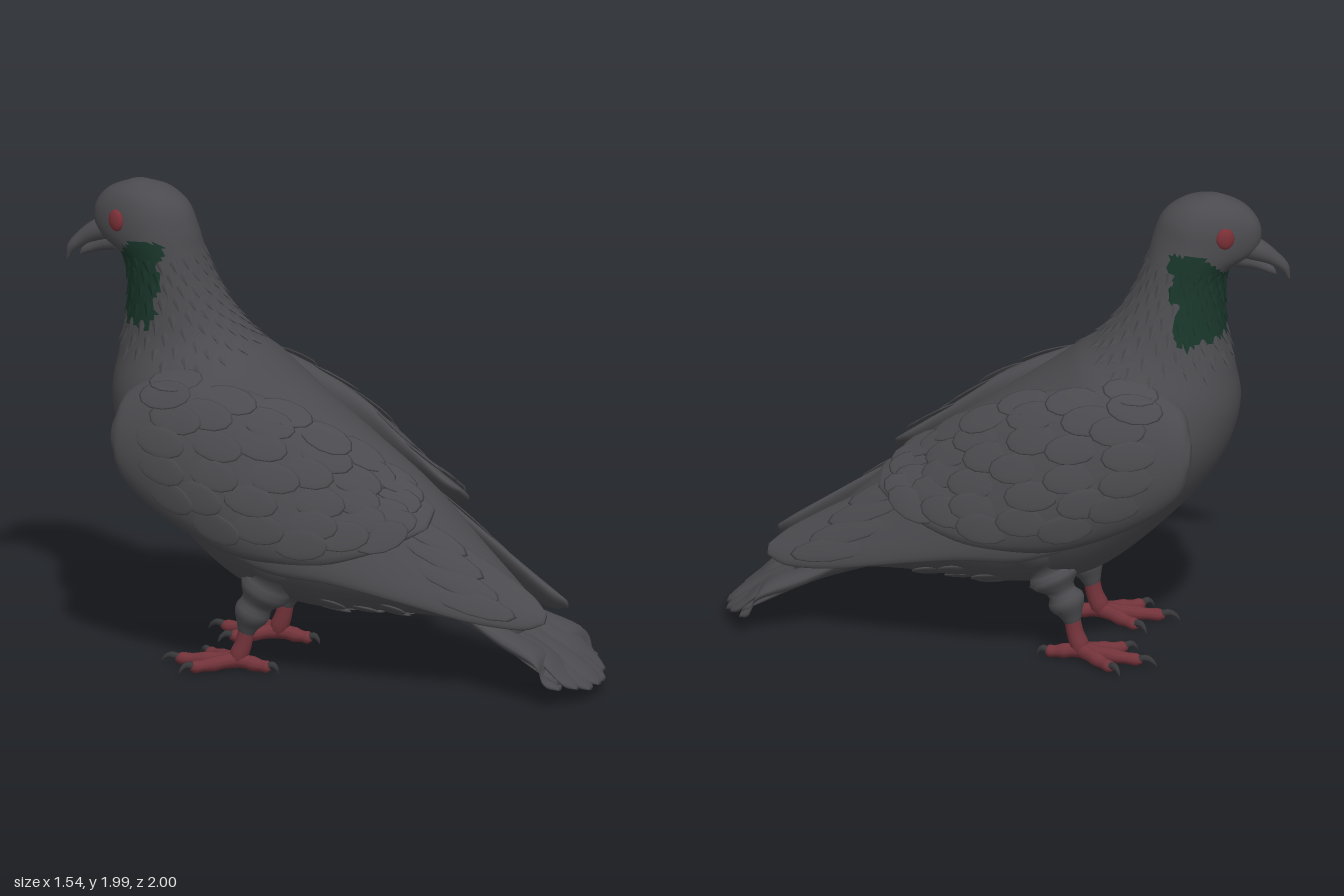
import * as THREE from 'three';
import { mergeGeometries } from 'three/addons/utils/BufferGeometryUtils.js';

const mat = (name, color) => {
  const m = new THREE.MeshStandardMaterial({ color });
  m.name = name;
  return m;
};
const V = (x, y, z) => new THREE.Vector3(x, y, z);

// Smooth closed skin through sections { c, u, v }: centre and two half-axes.
function loft(sections, rings = 30, sides = 24, inPatch = null, shape = p => p) {
  const [C, U, W] = ['c', 'u', 'v'].map(k => new THREE.CatmullRomCurve3(sections.map(s => s[k]), false, 'catmullrom', 0.5));
  const at = (p, a) => shape(C.getPoint(p).addScaledVector(U.getPoint(p), Math.cos(a)).addScaledVector(W.getPoint(p), Math.sin(a)));
  const pts = [], tris = [];
  for (let i = 0; i <= rings; i++)
    for (let j = 0; j < sides; j++) pts.push(at(i / rings, (j / sides) * Math.PI * 2));
  pts.push(C.getPoint(0), C.getPoint(1));
  const id = (i, j) => i * sides + (j % sides);
  for (let j = 0; j < sides; j++) {
    for (let i = 0; i < rings; i++) {
      tris.push([id(i, j), id(i + 1, j), id(i + 1, j + 1)], [id(i, j), id(i + 1, j + 1), id(i, j + 1)]);
    }
    tris.push([pts.length - 2, id(0, j), id(0, j + 1)], [pts.length - 1, id(rings, j + 1), id(rings, j)]);
  }
  // Turn the faces outward by the sign of the enclosed volume.
  let volume = 0;
  for (const [a, b, c] of tris) volume += pts[a].dot(V(0, 0, 0).crossVectors(pts[b], pts[c]));
  if (volume < 0) tris.forEach(t => t.reverse());
  const centre = t => V(0, 0, 0).add(pts[t[0]]).add(pts[t[1]]).add(pts[t[2]]).divideScalar(3);
  const patch = inPatch ? tris.filter(t => inPatch(centre(t))) : [];
  const rest = inPatch ? tris.filter(t => !inPatch(centre(t))) : tris;
  const g = new THREE.BufferGeometry().setFromPoints(pts);
  g.setIndex([...rest, ...patch].flat());
  if (inPatch) {
    g.addGroup(0, rest.length * 3, 0);
    g.addGroup(rest.length * 3, patch.length * 3, 1);
  }
  g.computeVertexNormals();
  return { g, at, C };
}

// Round limb through points [x, y, z, radius].
function limb(list, rings = 10, sides = 10) {
  const p = list.map(a => V(a[0], a[1], a[2]));
  return loft(list.map((a, i) => {
    const d = p[Math.min(i + 1, p.length - 1)].clone().sub(p[Math.max(i - 1, 0)]).normalize();
    const u = V(0, 0, 0).crossVectors(d, Math.abs(d.y) > 0.9 ? V(1, 0, 0) : V(0, 1, 0)).normalize();
    const v = V(0, 0, 0).crossVectors(d, u);
    return { c: p[i], u: u.multiplyScalar(a[3]), v: v.multiplyScalar(a[3]) };
  }), rings, sides).g;
}

// Feather lying on a loft, pointing along dir * p, with its tip raised.
function featherOn(shape, skin, p, a, dir, size, lift) {
  const pos = skin.at(p, a);
  const d = skin.at(p + 0.01, a).sub(skin.at(p - 0.01, a)).multiplyScalar(dir).normalize();
  const side = skin.at(p, a + 0.02).sub(skin.at(p, a - 0.02));
  const n = side.cross(d).normalize();
  if (n.dot(pos.clone().sub(skin.C.getPoint(p))) < 0) n.negate();
  d.addScaledVector(n, lift).normalize();
  const x = V(0, 0, 0).crossVectors(n, d).normalize();
  const m = new THREE.Matrix4().makeBasis(x, V(0, 0, 0).crossVectors(d, x), d).setPosition(pos);
  return shape.clone().scale(...size).applyMatrix4(m);
}

export function createModel() {
  const grey = mat('slate plumage', 0x4b4a4e);
  const green = mat('green throat', 0x19352a);
  const red = mat('red skin', 0x72333a);
  const eyeRed = mat('eye red', 0x7a3036);
  const claw = mat('dark claw', 0x363538);
  const bird = new THREE.Group();
  bird.name = 'bird';
  const add = (name, geo, material, parent = bird) => {
    const m = new THREE.Mesh(geo, material);
    m.name = name;
    parent.add(m);
    return m;
  };
  const spike = new THREE.ConeGeometry(1, 2, 6).rotateX(Math.PI / 2);
  const blade = new THREE.SphereGeometry(1, 12, 8);

  // Body, neck and head: back z, y / belly z, y / half width / sideways shift
  const bodyRows = [
    [-0.85, 0.34, -0.8, 0.2, 0.13, 0], [-0.6, 0.58, -0.54, 0.275, 0.2, 0], [-0.35, 0.82, -0.22, 0.28, 0.28, 0],
    [-0.1, 1.0, 0.1, 0.27, 0.355, 0], [0.1, 1.14, 0.42, 0.35, 0.4, 0], [0.24, 1.24, 0.72, 0.6, 0.425, 0],
    [0.33, 1.31, 0.92, 0.85, 0.4, 0], [0.4, 1.36, 1.0, 1.08, 0.315, 0], [0.455, 1.42, 0.98, 1.27, 0.238, 0],
    [0.515, 1.5, 0.945, 1.42, 0.202, 0.01], [0.573, 1.61, 0.935, 1.58, 0.175, 0.025], [0.612, 1.72, 0.955, 1.68, 0.163, 0.035],
    [0.637, 1.82, 1.065, 1.77, 0.161, 0.045], [0.675, 1.91, 1.08, 1.87, 0.147, 0.045], [0.75, 1.97, 1.025, 1.95, 0.108, 0.045],
    [0.85, 2.0, 0.92, 1.998, 0.03, 0.045]];
  const onThroat = p => p.y > 1.41 && p.y < Math.min(1.78, 1.78 - (p.z - 0.87) * 1.2) && p.z > 0.725 + (1.78 - p.y) * 0.12 + 0.012 * Math.sin(p.y * 50);
  // The head narrows toward the beak.
  const narrowFace = p => {
    const k = THREE.MathUtils.smoothstep(p.y, 1.64, 1.78) * THREE.MathUtils.clamp((p.z - 0.8) / 0.25, 0, 1);
    p.x = 0.05 + (p.x - 0.05) * (1 - 0.26 * k);
    return p;
  };
  const body = loft(bodyRows.map(([tz, ty, bz, by, w, x]) => ({
    c: V(x, (ty + by) / 2, (tz + bz) / 2), u: V(0, (ty - by) / 2, (tz - bz) / 2), v: V(w, 0, 0)
  })), 90, 56, onThroat, narrowFace);
  add('body', body.g, [grey, green]);

  // Pointed neck feathers in staggered rows
  const ruff = { grey: [], green: [] };
  for (let r = 0; r < 9; r++) {
    for (let k = 0; k < 19; k++) {
      const p = (6.9 + r * 0.48 + 0.1 * Math.sin(k * 5.3 + r)) / 15, a = ((k + (r % 2) / 2) / 19) * Math.PI * 2;
      const pos = body.at(p, a);
      if (pos.y < 1.27 || pos.y > 1.72) continue;
      const s = 1.15 - r * 0.04;
      ruff[onThroat(pos) ? 'green' : 'grey'].push(featherOn(spike, body, p, a, -1, [0.028 * s, 0.012, 0.036 * s], 0.28));
    }
  }
  add('neckFeathers', mergeGeometries(ruff.grey), grey);
  add('throatFeathers', mergeGeometries(ruff.green), green);

  // Beak with swollen base
  add('upperBeak', limb([[0.052, 1.785, 1.0, 0.058], [0.058, 1.76, 1.075, 0.045], [0.068, 1.728, 1.13, 0.031], [0.08, 1.685, 1.175, 0.02], [0.084, 1.635, 1.193, 0.004]], 16, 12), grey);
  add('lowerBeak', limb([[0.05, 1.73, 0.98, 0.045], [0.06, 1.705, 1.06, 0.028], [0.068, 1.675, 1.12, 0.017], [0.073, 1.655, 1.14, 0.004]], 12, 10), grey);

  // Wing sections: z, top x, y / bottom x, y / half thickness
  const covertRows = [
    [0.87, 0.36, 1.06, 0.39, 0.97, 0.02], [0.81, 0.3, 1.19, 0.38, 0.81, 0.09], [0.6, 0.27, 1.265, 0.39, 0.66, 0.135],
    [0.3, 0.24, 1.21, 0.43, 0.56, 0.13], [0, 0.19, 1.09, 0.42, 0.55, 0.085], [-0.22, 0.14, 0.94, 0.37, 0.6, 0.05],
    [-0.38, 0.11, 0.83, 0.3, 0.67, 0.035], [-0.46, 0.14, 0.77, 0.23, 0.71, 0.012]];
  const primaryRows = [
    [0.35, 0.36, 0.8, 0.41, 0.56, 0.03], [0.15, 0.3, 0.93, 0.42, 0.5, 0.06], [-0.1, 0.22, 0.9, 0.4, 0.48, 0.05], [-0.4, 0.14, 0.72, 0.33, 0.41, 0.042],
    [-0.65, 0.09, 0.57, 0.25, 0.34, 0.036], [-0.85, 0.07, 0.44, 0.18, 0.31, 0.03], [-0.94, 0.1, 0.37, 0.13, 0.33, 0.01]];
  const wingLoft = (rows, s) => loft(rows.map(([z, tx, ty, bx, by, th]) => {
    const u = V(s * (tx - bx) / 2, (ty - by) / 2, 0);
    const v = V(s * u.y, -s * u.x, 0).normalize().multiplyScalar(th);
    return { c: V(s * (tx + bx) / 2, (ty + by) / 2, z), u, v };
  }), 44, 28);

  for (const [s, label] of [[1, 'left'], [-1, 'right']]) {
    const wing = new THREE.Group();
    wing.name = label + 'Wing';
    bird.add(wing);
    const covert = wingLoft(covertRows, s);
    add('coverts', covert.g, grey, wing);
    const primary = wingLoft(primaryRows, s);
    add('primaries', primary.g, grey, wing);
    // Overlapping feathers with only their tips standing proud
    const over = [];
    for (let r = 0; r < 6; r++)
      for (let k = 0; k < 6; k++)
        over.push(featherOn(blade, covert, 0.28 + r * 0.1 + 0.02 * Math.sin(k * 4 + r), 0.4 + (k + (r % 2) * 0.5) * 0.36, 1, [0.065, 0.007, 0.12], 0.08));
    for (let k = 0; k < 4; k++)
      over.push(featherOn(blade, primary, 0.52 + k * 0.05, 0.7 + k * 0.45, 1, [0.05, 0.007, 0.2], 0.02));
    add('wingFeathers', mergeGeometries(over), grey, wing);

    // Eye, with the head turned slightly to the left
    const eye = add(label + 'Eye', new THREE.SphereGeometry(0.04, 18, 12).scale(0.5, 1.15, 0.95), eyeRed);
    eye.position.set(0.053 + s * 0.121, 1.852, 0.947 - s * 0.008);
    eye.rotation.y = -s * 0.4;

    // Leg with feathered thigh, four toes and claws
    const leg = new THREE.Group();
    leg.name = label + 'Leg';
    bird.add(leg);
    add('thigh', limb([[s * 0.17, 0.62, 0.18, 0.17], [s * 0.19, 0.46, 0.22, 0.15], [s * 0.2, 0.36, 0.265, 0.11], [s * 0.21, 0.27, 0.315, 0.075], [s * 0.21, 0.2, 0.34, 0.047], [s * 0.21, 0.16, 0.348, 0.03]], 20, 18), grey, leg);
    const skin = [limb([[s * 0.21, 0.22, 0.34, 0.034], [s * 0.212, 0.13, 0.355, 0.036], [s * 0.216, 0.075, 0.375, 0.04], [s * 0.22, 0.035, 0.385, 0.032]])];
    const nails = [];
    for (const [angle, len] of [[-0.55, 0.2], [0.1, 0.26], [0.7, 0.2], [Math.PI, 0.15]]) {
      const q = (t, y, r) => [s * (0.22 + Math.sin(angle) * len * t), y, 0.385 + Math.cos(angle) * len * t, r];
      skin.push(limb([q(0, 0.05, 0.035), q(0.3, 0.045, 0.029), q(0.5, 0.04, 0.031), q(0.72, 0.036, 0.024), q(0.9, 0.034, 0.026), q(1, 0.034, 0.013)], 15));
      nails.push(limb([q(0.93, 0.038, 0.017), q(1.08, 0.045, 0.014), q(1.18, 0.032, 0.009), q(1.24, 0.012, 0.002)], 8, 8));
    }
    add('foot', mergeGeometries(skin), red, leg);
    add('claws', mergeGeometries(nails), claw, leg);
  }

  // Tail core and closely overlapping fanned feathers
  const flat = (x, y, z, w, h) => ({ c: V(x, y, z), u: V(0, h, h * 0.4), v: V(w, 0, 0) });
  add('tailCore', loft([flat(0, 0.44, -0.4, 0.17, 0.14), flat(0, 0.3, -0.7, 0.2, 0.08), flat(0, 0.19, -0.9, 0.23, 0.045), flat(0, 0.115, -1.03, 0.23, 0.022)], 16, 28).g, grey);
  const fan = [];
  for (let i = -3; i <= 3; i++) {
    const k = i / 3, lift = 0.03 * k * k - (i % 2 ? 0.008 : 0), back = 0.09 * k * k;
    fan.push(loft([
      flat(k * 0.11, 0.43, -0.45, 0.06, 0.03), flat(k * 0.15, 0.275, -0.75, 0.075, 0.042), flat(k * 0.185, 0.175 + lift, -0.95, 0.082, 0.036),
      flat(k * 0.2, 0.1 + lift, -1.08 + back, 0.068, 0.03), flat(k * 0.205, 0.07 + lift, -1.13 + back, 0.025, 0.01)], 20, 14).g);
  }
  add('tailFeathers', mergeGeometries(fan), grey);

  // Ragged feathers under the tail
  const vent = [];
  for (let r = 0; r < 3; r++)
    for (let k = -2; k <= 2; k++)
      vent.push(featherOn(blade, body, (1.9 + r * 0.4) / 15, Math.PI + (k + (r % 2) / 2) * 0.3, -1, [0.045, 0.01, 0.075], 0.15));
  add('ventFeathers', mergeGeometries(vent), grey);

  // Stand the bird on its diagonal
  bird.rotation.y = THREE.MathUtils.degToRad(211);
  bird.position.set(0.03, 0, -0.018);
  const model = new THREE.Group();
  model.name = 'standingBird';
  model.add(bird);
  return model;
}
